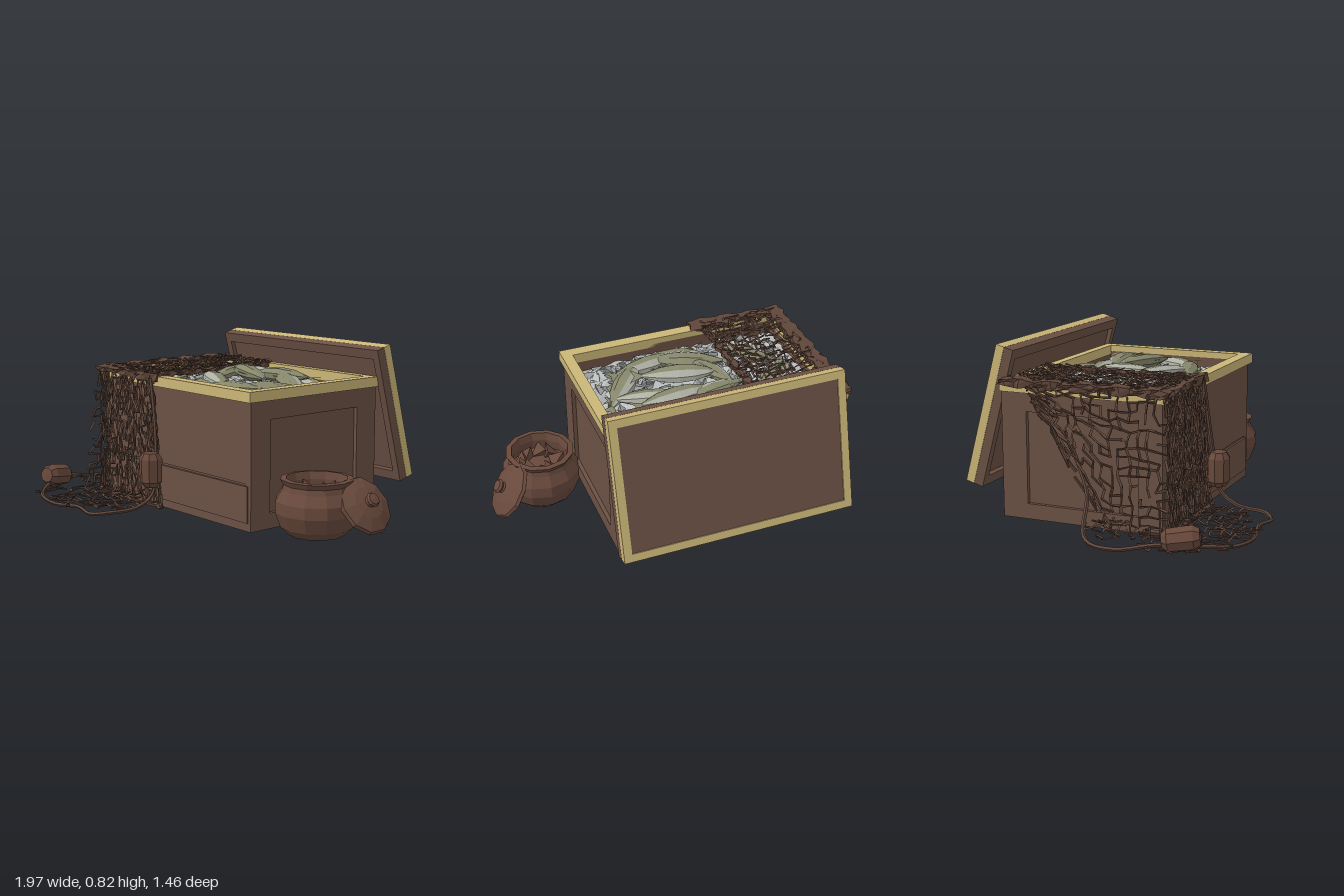
import * as THREE from 'three';
import { mergeGeometries } from 'three/addons/utils/BufferGeometryUtils.js';

const mat = (name, color, extra = {}) =>
  Object.assign(new THREE.MeshStandardMaterial({ color, flatShading: true, side: THREE.DoubleSide, ...extra }), { name });
const V = (x, y, z) => new THREE.Vector3(x, y, z);

export function createModel() {
  const wood = mat('wood brown', 0x6b5144), trim = mat('pale yellow trim', 0xcbb677);
  const clay = mat('clay brown', 0x68493c), netMat = mat('net brown', 0x5f463a);
  const ice = mat('ice white', 0xb9bcbc), iceGrey = mat('ice grey', 0x959897);
  const back = mat('fish olive', 0x85866a), belly = mat('fish belly', 0xaeb0a4);
  const root = new THREE.Group();
  root.name = 'fishCrate';

  let seed = 7;
  const rnd = () => (seed = (seed * 16807) % 2147483647) / 2147483647;
  const jit = a => (rnd() - 0.5) * 2 * a;

  const add = (name, geo, m, parent = root) => {
    const mesh = new THREE.Mesh(geo, m);
    mesh.name = name;
    parent.add(mesh);
    return mesh;
  };
  // Box given by its low and high corners
  const block = (name, m, [x0, x1], [y0, y1], [z0, z1], parent = root) =>
    add(name, new THREE.BoxGeometry(x1 - x0, y1 - y0, z1 - z0)
      .translate((x0 + x1) / 2, (y0 + y1) / 2, (z0 + z1) / 2), m, parent);
  const rect = (T, x0, x1, y0, y1) => {
    const p = new T();
    p.moveTo(x0, y0); p.lineTo(x1, y0); p.lineTo(x1, y1); p.lineTo(x0, y1); p.closePath();
    return p;
  };
  // Flat rectangular frame with an opening, extruded along z
  const frameGeo = (o, i, depth) => {
    const s = rect(THREE.Shape, ...o);
    s.holes.push(rect(THREE.Path, ...i));
    return new THREE.ExtrudeGeometry(s, { depth, bevelEnabled: false });
  };
  const lathe = (pts, n, a = 0, len = Math.PI * 2) =>
    new THREE.LatheGeometry(pts.map(p => new THREE.Vector2(...p)), n, a, len);

  // Crate body
  const crate = new THREE.Group();
  crate.name = 'crate';
  root.add(crate);
  block('floor', wood, [-0.68, 0.48], [0.01, 0.05], [-0.5, 0.32], crate);
  block('backWall', wood, [-0.66, 0.46], [0.05, 0.64], [-0.5, -0.46], crate);
  block('frontWall', wood, [-0.66, 0.46], [0.05, 0.64], [0.28, 0.314], crate);
  block('frontUpperBoard', wood, [-0.66, 0.46], [0.235, 0.64], [0.31, 0.32], crate);
  block('frontLowerBoard', wood, [-0.66, 0.46], [0.05, 0.225], [0.31, 0.325], crate);
  for (const s of [-1, 1]) {
    const side = add('sideFrame', frameGeo([-0.32, 0.5, 0.05, 0.64], [-0.2, 0.37, 0.085, 0.53], 0.022), wood, crate);
    side.rotation.y = Math.PI / 2;
    side.position.x = s > 0 ? 0.458 : -0.68;
    const x = s > 0 ? 0.44 : -0.66;
    block('sidePanel', wood, [x, x + 0.02], [0.05, 0.64], [-0.5, 0.32], crate);
  }
  const rim = add('rim', frameGeo([-0.7, 0.495, -0.34, 0.5], [-0.64, 0.44, -0.28, 0.455], 0.05), trim, crate);
  rim.rotation.x = -Math.PI / 2;
  rim.position.y = 0.622;

  // Lid leaning on the back
  const lid = new THREE.Group();
  lid.name = 'lid';
  lid.position.set(-0.055, 0.48, -0.594);
  lid.rotation.x = 0.266;
  root.add(lid);
  const W = 0.585, H = 0.352;
  add('lidInnerFrame', frameGeo([-W, W, -H, H], [-W + 0.04, W - 0.04, -H + 0.05, H - 0.05], 0.048), wood, lid);
  add('lidTrim', frameGeo([-W, W, -H, H], [-W + 0.04, W - 0.04, -H + 0.04, H - 0.04], 0.044), trim, lid).position.z = -0.045;
  block('lidPanel', wood, [-W + 0.03, W - 0.03], [-H + 0.03, H - 0.03], [-0.04, 0.025], lid);

  // Ice bed, heaped toward the middle
  const iceY = (x, z) => 0.565 + 0.065 * Math.max(0, 1 - ((x + 0.08) / 0.6) ** 2) * Math.max(0, 1 - ((z + 0.08) / 0.42) ** 2);
  const bed = new THREE.PlaneGeometry(1.1, 0.75, 24, 17).rotateX(-Math.PI / 2).translate(-0.1, 0, -0.09);
  const bp = bed.attributes.position;
  for (let i = 0; i < bp.count; i++) {
    const x = bp.getX(i), z = bp.getZ(i);
    bp.setXYZ(i, x + jit(0.014), iceY(x, z) + jit(0.016), z + jit(0.014));
  }
  add('iceBed', bed, ice);
  for (const [name, m] of [['iceShards', ice], ['greyIceShards', iceGrey]]) {
    const parts = [];
    for (let i = 0; i < 150; i++) {
      const x = -0.1 + jit(0.5), z = -0.085 + jit(0.33);
      parts.push(new THREE.TetrahedronGeometry(0.022 + rnd() * 0.02).scale(1.3, 0.7, 1)
        .rotateX(jit(3)).rotateY(jit(3)).translate(x, iceY(x, z) + 0.004, z));
    }
    add(name, mergeGeometries(parts), m);
  }

  // Fish: an olive back half, a pale belly half and fins
  const outline = [[0, -0.18], [0.025, -0.15], [0.047, -0.09], [0.054, -0.02], [0.043, 0.06], [0.02, 0.12], [0.009, 0.15]];
  const half = (a, len) => lathe(outline, 4, a, len).rotateZ(-Math.PI / 2).scale(1, 0.65, 1);
  const backGeo = half(Math.PI * 1.4, Math.PI), bellyGeo = half(Math.PI * 0.4, Math.PI);
  const finShape = new THREE.Shape([[0.13, 0], [0.2, 0.045], [0.18, 0], [0.2, -0.045]].map(p => new THREE.Vector2(...p)));
  const dorsal = new THREE.Shape([[-0.05, -0.04], [0.02, -0.072], [0.07, -0.03]].map(p => new THREE.Vector2(...p)));
  const finGeo = new THREE.ShapeGeometry([finShape, dorsal]).rotateX(Math.PI / 2).scale(1, 1, -1);
  const fishSpots = [ // x, z, heading, height, size
    [0.1, -0.23, 0.1, 0.045, 1.1], [-0.12, -0.24, 3.3, 0.035, 1], [0.28, -0.02, 0.9, 0.02, 1.1], [0.03, -0.07, -0.3, 0.05, 1.1],
    [-0.1, 0.06, 2.7, 0.025, 1.1], [0.12, 0.12, 0.25, 0.02, 1.1], [-0.16, -0.1, 1.9, 0.035, 0.9], [0.2, -0.33, 2.9, 0.015, 0.9],
    [0.02, -0.36, -0.5, 0.015, 0.9], [-0.04, 0.17, -0.3, 0.015, 0.9], [0.22, -0.16, -0.4, 0.03, 1], [-0.44, -0.2, 0.6, 0.02, 0.9],
    [-0.42, 0.03, 2.4, 0.02, 0.9], [-0.5, -0.33, -0.3, 0.02, 0.8]];
  for (const [x, z, ry, h, s] of fishSpots) {
    const fish = new THREE.Group();
    fish.name = 'fish';
    fish.position.set(x, iceY(x, z) + h, z);
    fish.rotation.set(jit(0.2), ry, jit(0.1));
    fish.scale.setScalar(s);
    add('fishBack', backGeo, back, fish);
    add('fishBelly', bellyGeo, belly, fish);
    add('fishFins', finGeo, back, fish);
    root.add(fish);
  }

  // Net strands: tapered three-sided prisms between two points
  const strand = (a, b, r) => {
    const d = b.clone().sub(a), len = d.length();
    const q = new THREE.Quaternion().setFromUnitVectors(V(0, 1, 0), d.normalize());
    return new THREE.CylinderGeometry(r * (0.4 + rnd()), r, len * 1.1, 3, 1, true)
      .applyQuaternion(q).translate(...a.clone().lerp(b, 0.5).toArray());
  };
  // Ragged net over surface P(u, v); keep(p, across) is the chance that a strand survives
  const net = (name, P, nu, nv, r, wob, keep) => {
    const parts = [], g = [];
    for (let i = 0; i <= nu; i++) {
      g.push([]);
      for (let j = 0; j <= nv; j++) g[i].push(P(i / nu, j / nv).add(V(jit(wob), jit(wob), jit(wob))));
    }
    for (let i = 0; i <= nu; i++) for (let j = 0; j <= nv; j++) {
      if (i < nu && rnd() < keep(g[i][j], true)) parts.push(strand(g[i][j], g[i + 1][j], r));
      if (j < nv && rnd() < keep(g[i][j], false)) parts.push(strand(g[i][j], g[i][j + 1], r));
    }
    add(name, mergeGeometries(parts), netMat);
  };
  net('topNet', (u, v) => V(-0.67 + 0.41 * u, 0.682 - 0.03 * Math.sin(Math.PI * u) * Math.sin(Math.PI * v), -0.47 + 0.79 * v),
    17, 30, 0.0055, 0.009, () => 0.72);
  net('frontNet', (u, v) => V(-0.69 + (0.45 + 0.09 * v) * u, 0.67 - 0.65 * v, 0.345 + 0.015 * v),
    24, 20, 0.006, 0.007, (p, across) => across ? 0.4 : 0.92);
  net('sideNet', (u, v) => {
    const drop = Math.min(0.64, 0.1 + u * 0.95);
    return V(-0.71 - 0.06 * v * Math.min(1, u * 1.6), 0.67 - drop * v, -0.35 + 0.7 * u + 0.04 * v);
  }, 15, 15, 0.007, 0.012, () => 0.62);
  const onGround = p => ((p.x + 0.58) / 0.41) ** 2 + ((p.z - 0.29) / 0.42) ** 2 < 1
    && p.x < -0.17 && (p.z > 0.34 || p.x < -0.7);
  net('groundNet', (u, v) => V(-1 + 0.84 * u, 0.03 + 0.04 * Math.max(0, 1 - v * 1.2), 0.72 * v),
    22, 19, 0.0055, 0.01, p => !onGround(p) ? 0 : p.x < -0.72 ? 0.28 : 0.68);

  // Bunched net along the crate edges
  const bunch = (name, x, y, z, w, h, d) => {
    const geo = new THREE.BoxGeometry(w, h, d, Math.ceil(w / 0.04), 2, Math.ceil(d / 0.04));
    const p = geo.attributes.position;
    for (let i = 0; i < p.count; i++) { // the same offset for vertices that coincide
      const a = p.getX(i), b = p.getY(i), c = p.getZ(i), k = a * 91 + b * 57 + c * 73;
      p.setXYZ(i, a + 0.008 * Math.sin(k), b + 0.007 * Math.sin(k * 1.7), c + 0.008 * Math.cos(k * 1.3));
    }
    add(name, geo.translate(x, y, z), netMat);
  };
  bunch('leftNetFold', -0.675, 0.667, -0.07, 0.075, 0.035, 0.86);
  bunch('frontNetFold', -0.45, 0.667, 0.318, 0.5, 0.03, 0.075);
  bunch('rightNetFold', -0.275, 0.668, -0.08, 0.03, 0.022, 0.74);

  // Edge ropes
  const rope = (name, pts, r) => add(name, new THREE.TubeGeometry(
    new THREE.CatmullRomCurve3(pts.map(p => V(...p))), pts.length * 6, r, 5), netMat);
  rope('groundRope', [[-0.71, 0.4, -0.12], [-0.76, 0.2, -0.02], [-0.93, 0.04, 0.05], [-0.99, 0.03, 0.22], [-0.95, 0.06, 0.4],
    [-0.86, 0.05, 0.58], [-0.74, 0.03, 0.69], [-0.57, 0.02, 0.72], [-0.4, 0.03, 0.69], [-0.27, 0.02, 0.705], [-0.2, 0.03, 0.65],
    [-0.17, 0.04, 0.5], [-0.16, 0.1, 0.41], [-0.18, 0.3, 0.375], [-0.21, 0.48, 0.36], [-0.25, 0.66, 0.35]], 0.01);
  rope('footRope', [[-0.74, 0.04, 0.25], [-0.68, 0.03, 0.36], [-0.45, 0.025, 0.36], [-0.17, 0.03, 0.37]], 0.014);

  // Floats
  const floatGeo = lathe([[0, -0.088], [0.035, -0.085], [0.055, -0.06], [0.058, 0.055], [0.04, 0.085], [0, 0.088]], 8);
  add('hangingFloat', floatGeo, clay).position.set(-0.18, 0.215, 0.405);
  const lying = add('groundFloat', floatGeo, clay);
  lying.position.set(-0.9, 0.085, 0.5);
  lying.rotation.set(Math.PI / 2 - 0.15, 0, -0.3);

  // Clay pot with broken pieces inside
  const pot = new THREE.Group();
  pot.name = 'pot';
  pot.position.set(0.69, 0, 0.1);
  root.add(pot);
  add('potBody', lathe([[0, 0.01], [0.13, 0.012], [0.17, 0.05], [0.197, 0.12], [0.195, 0.175], [0.165, 0.225], [0.158, 0.25],
    [0.172, 0.275], [0.145, 0.278], [0.135, 0.24], [0.14, 0.19], [0, 0.19]], 12), clay, pot);
  for (let i = 0; i < 9; i++) {
    const piece = add('potContents', new THREE.TetrahedronGeometry(0.06), clay, pot);
    piece.position.set(0.085 * Math.cos(i * 2.4), 0.2, 0.085 * Math.sin(i * 2.4));
    piece.rotation.set(jit(2), jit(3), jit(2));
  }

  // Pot lid leaning on the pot
  const potLid = add('potLid', lathe([[0, -0.012], [0.13, -0.015], [0.147, -0.004], [0.14, 0.012], [0.08, 0.034], [0.028, 0.042],
    [0.024, 0.052], [0.036, 0.064], [0.028, 0.076], [0, 0.08]], 10), clay);
  potLid.position.set(0.883, 0.162, -0.015);
  potLid.quaternion.setFromUnitVectors(V(0, 1, 0), V(0.81, 0.586, 0).normalize());
  return root;
}
